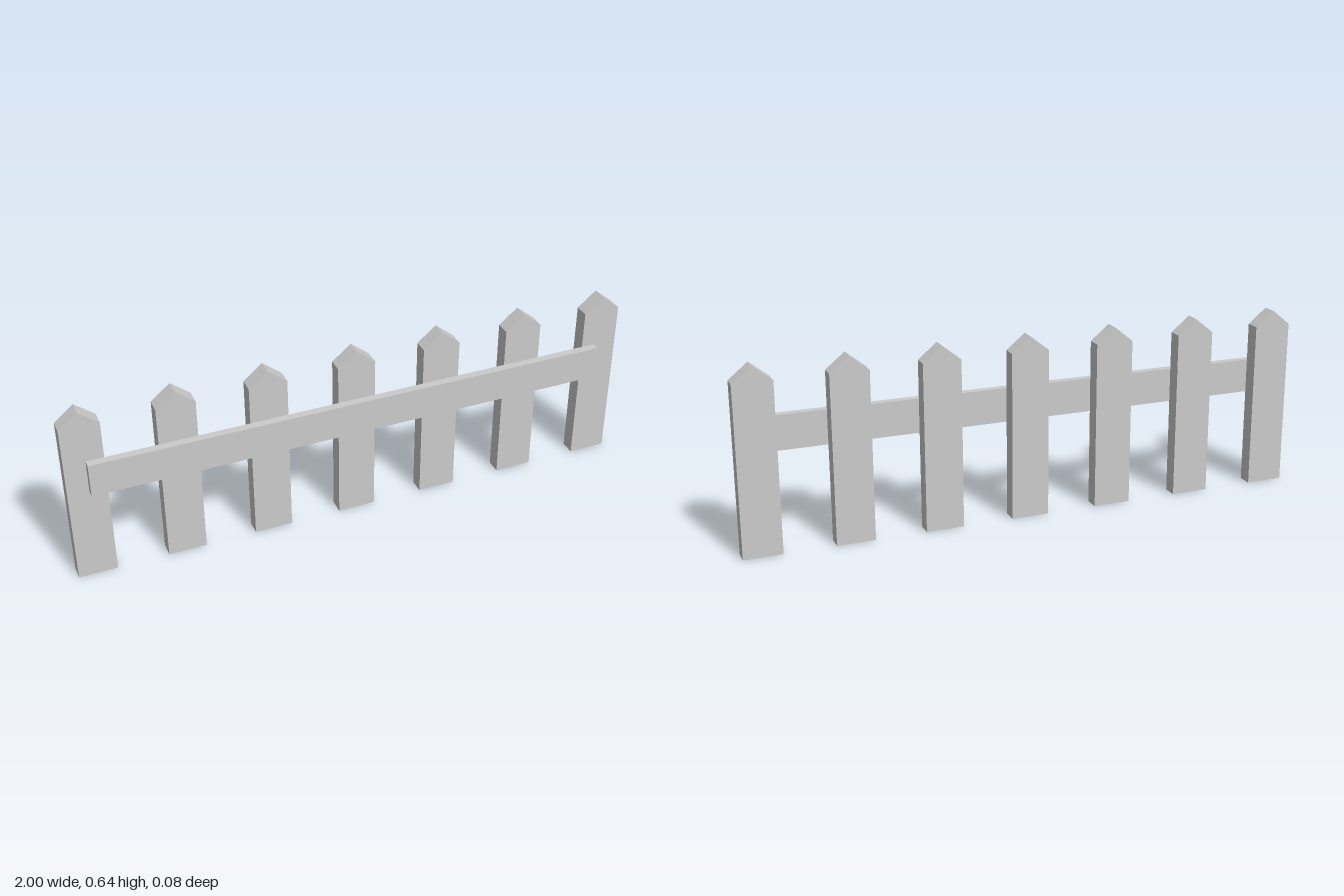
import * as THREE from 'three';

const WIDTH = 0.133, SHOULDER = 0.591, PEAK = 0.645;
const BACK = -0.04, FACE = 0.013, RAIL_FRONT = 0.041;

// Pointed board, hollow with an open foot
function picketGeometry() {
  const w = WIDTH / 2;
  const outline = new THREE.Shape([
    new THREE.Vector2(-w, 0),
    new THREE.Vector2(w, 0),
    new THREE.Vector2(w, SHOULDER),
    new THREE.Vector2(0, PEAK),
    new THREE.Vector2(-w, SHOULDER),
  ]);
  const solid = new THREE.ExtrudeGeometry(outline, { depth: FACE - BACK, bevelEnabled: false });
  solid.translate(0, 0, BACK);

  // Drop the triangles lying on the ground
  const p = solid.attributes.position;
  const kept = [];
  for (let i = 0; i < p.count; i += 3) {
    const onGround = [0, 1, 2].every((k) => p.getY(i + k) < 1e-6);
    if (!onGround) for (let k = 0; k < 3; k++) kept.push(p.getX(i + k), p.getY(i + k), p.getZ(i + k));
  }
  const geometry = new THREE.BufferGeometry();
  geometry.setAttribute('position', new THREE.Float32BufferAttribute(kept, 3));
  geometry.computeVertexNormals();
  return geometry;
}

export function createModel() {
  const fence = new THREE.Group();
  fence.name = 'picketFence';
  const material = new THREE.MeshStandardMaterial({
    color: 0xcccccc, flatShading: true, side: THREE.DoubleSide,
  });

  // Seven evenly spaced pickets
  const geometry = picketGeometry();
  const count = 7, reach = 1 - WIDTH / 2;
  for (let i = 0; i < count; i++) {
    const picket = new THREE.Mesh(geometry, material);
    picket.name = `picket${i + 1}`;
    picket.position.x = -reach + (2 * reach * i) / (count - 1);
    fence.add(picket);
  }

  // Rail across the front of the pickets
  const rail = new THREE.Mesh(new THREE.BoxGeometry(1.843, 0.12, RAIL_FRONT - FACE), material);
  rail.name = 'rail';
  rail.position.set(-0.006, 0.398, (RAIL_FRONT + FACE) / 2);
  fence.add(rail);

  return fence;
}
